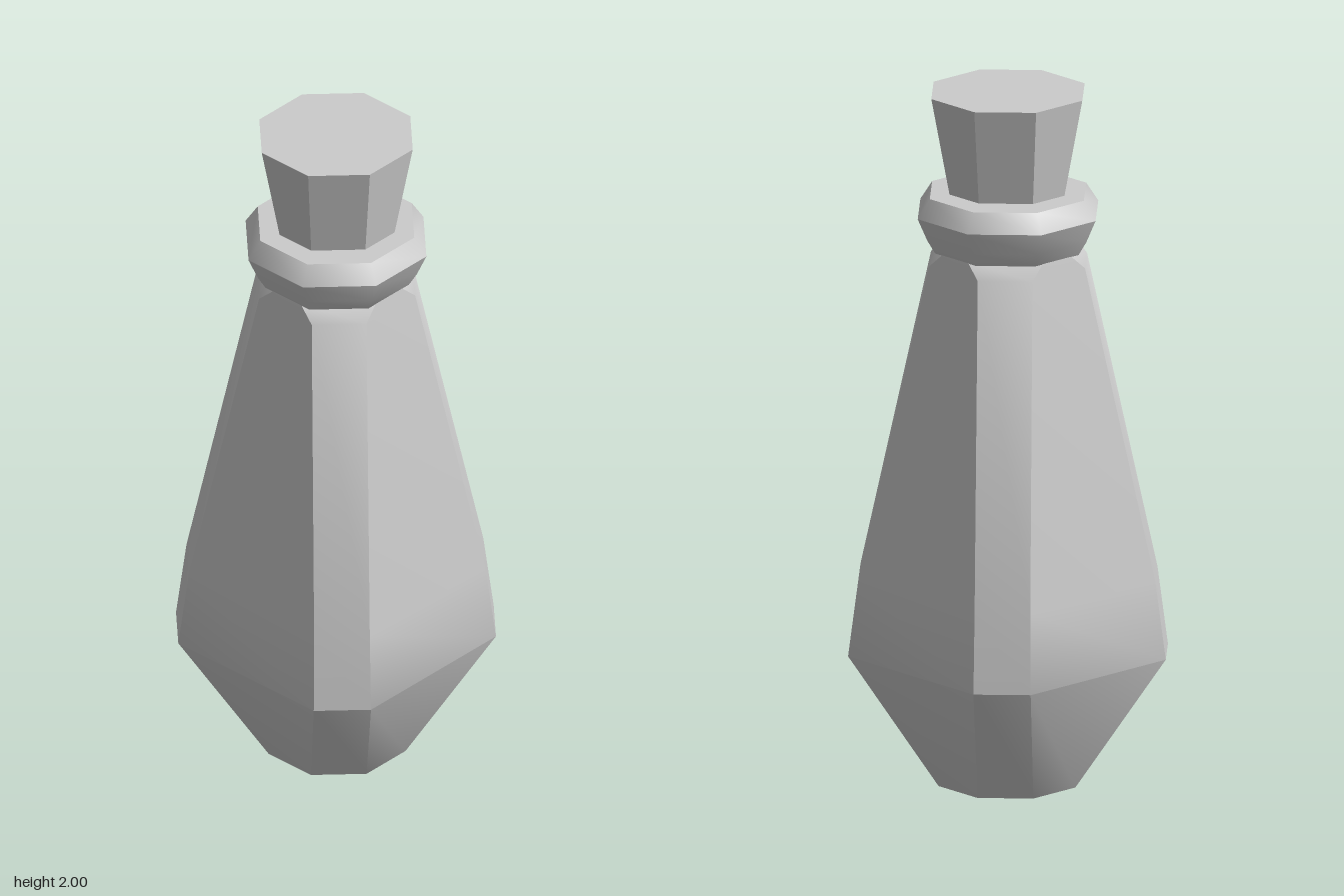
import * as THREE from 'three';
import { toCreasedNormals } from 'three/addons/utils/BufferGeometryUtils.js';

// Chamfered-square ring: half-width w, half-length of each flat side f
function ring(y, w, f) {
  return [[w, -f], [w, f], [f, w], [-f, w], [-w, f], [-w, -f], [-f, -w], [f, -w]]
    .map(([x, z]) => new THREE.Vector3(x, y, z));
}

// Skin a stack of sections [y, w, f], listed bottom to top, and cap both ends
function loft(name, sections, creaseDegrees) {
  const rings = sections.map((s) => ring(...s));
  const pos = [];
  const tri = (...points) => points.forEach((p) => pos.push(p.x, p.y, p.z));
  for (let i = 0; i < rings.length - 1; i++) {
    const lower = rings[i], upper = rings[i + 1];
    for (let j = 0; j < 8; j++) {
      const k = (j + 1) % 8;
      tri(lower[j], upper[j], upper[k]);
      tri(lower[j], upper[k], lower[k]);
    }
  }
  const bottom = rings[0], top = rings[rings.length - 1];
  for (let j = 1; j < 7; j++) {
    tri(bottom[0], bottom[j], bottom[j + 1]);
    tri(top[0], top[j + 1], top[j]);
  }
  let geometry = new THREE.BufferGeometry();
  geometry.setAttribute('position', new THREE.Float32BufferAttribute(pos, 3));
  geometry = toCreasedNormals(geometry, THREE.MathUtils.degToRad(creaseDegrees));
  const mesh = new THREE.Mesh(geometry, new THREE.MeshStandardMaterial({ color: 0xcccccc }));
  mesh.name = name;
  return mesh;
}

export function createModel() {
  const bottle = new THREE.Group();
  bottle.name = 'bottle';

  // Tapered body: narrow foot, wide shoulder, long slope to the neck
  bottle.add(loft('body', [
    [0, 0.19, 0.08],
    [0.375, 0.37, 0.257],
    [0.6, 0.348, 0.238],
    [1.51, 0.208, 0.1],
    [1.555, 0.2, 0.05],
  ], 40.3));

  // Bevelled collar around the neck
  bottle.add(loft('collar', [
    [1.55, 0.2, 0.083],
    [1.59, 0.222, 0.092],
    [1.655, 0.248, 0.103],
    [1.71, 0.215, 0.089],
  ], 42));

  // Flared stopper
  bottle.add(loft('stopper', [
    [1.72, 0.167, 0.06],
    [2, 0.21, 0.088],
  ], 30));

  return bottle;
}
